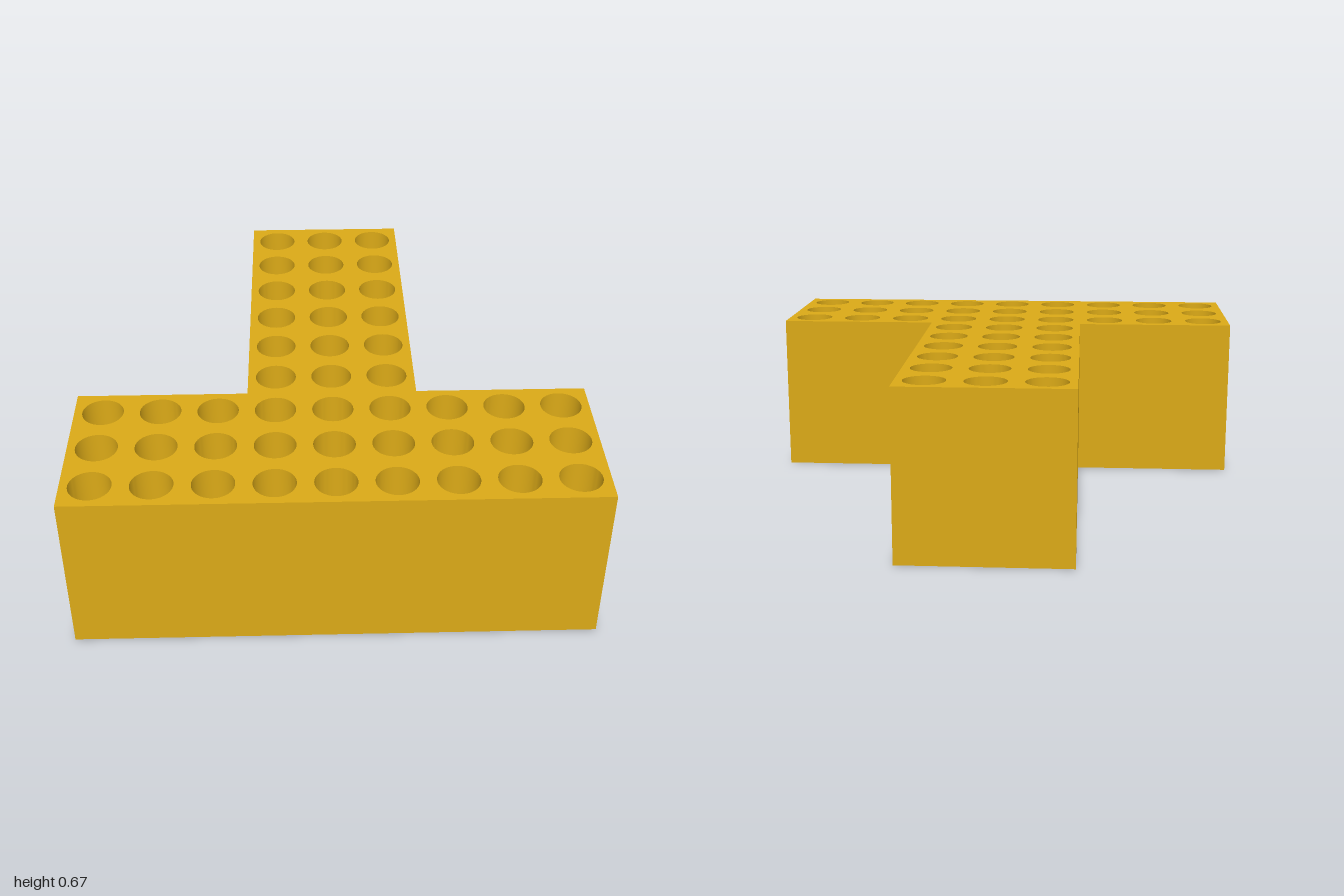
import * as THREE from 'three';
import { toCreasedNormals } from 'three/addons/utils/BufferGeometryUtils.js';

const CELL = 2 / 9;      // spacing of the hole grid
const RADIUS = 0.08;
const HEIGHT = 2 / 3;

export function createModel() {
  const group = new THREE.Group();
  group.name = 'perforatedTBlock';

  // T outline, with shape y pointing to the back
  const t = 1 / 3;
  const outline = new THREE.Shape([
    [-1, -1], [1, -1], [1, -t], [t, -t], [t, 1], [-t, 1], [-t, -t], [-1, -t],
  ].map(([x, y]) => new THREE.Vector2(x, y)));

  // One through hole per cell: three full rows in the bar, three columns in the stem
  for (let row = 0; row < 9; row++) {
    const reach = row < 3 ? 4 : 1;
    for (let col = -reach; col <= reach; col++) {
      const hole = new THREE.Path();
      hole.absarc(col * CELL, (row - 4) * CELL, RADIUS, 0, Math.PI * 2, true);
      outline.holes.push(hole);
    }
  }

  const extruded = new THREE.ExtrudeGeometry(outline, {
    depth: HEIGHT, bevelEnabled: false, curveSegments: 24,
  });
  extruded.rotateX(-Math.PI / 2);

  // Smooth hole walls, sharp edges
  const block = new THREE.Mesh(
    toCreasedNormals(extruded, Math.PI / 6),
    new THREE.MeshStandardMaterial({ color: 0xdaa917 }),
  );
  block.name = 'block';
  group.add(block);
  return group;
}
